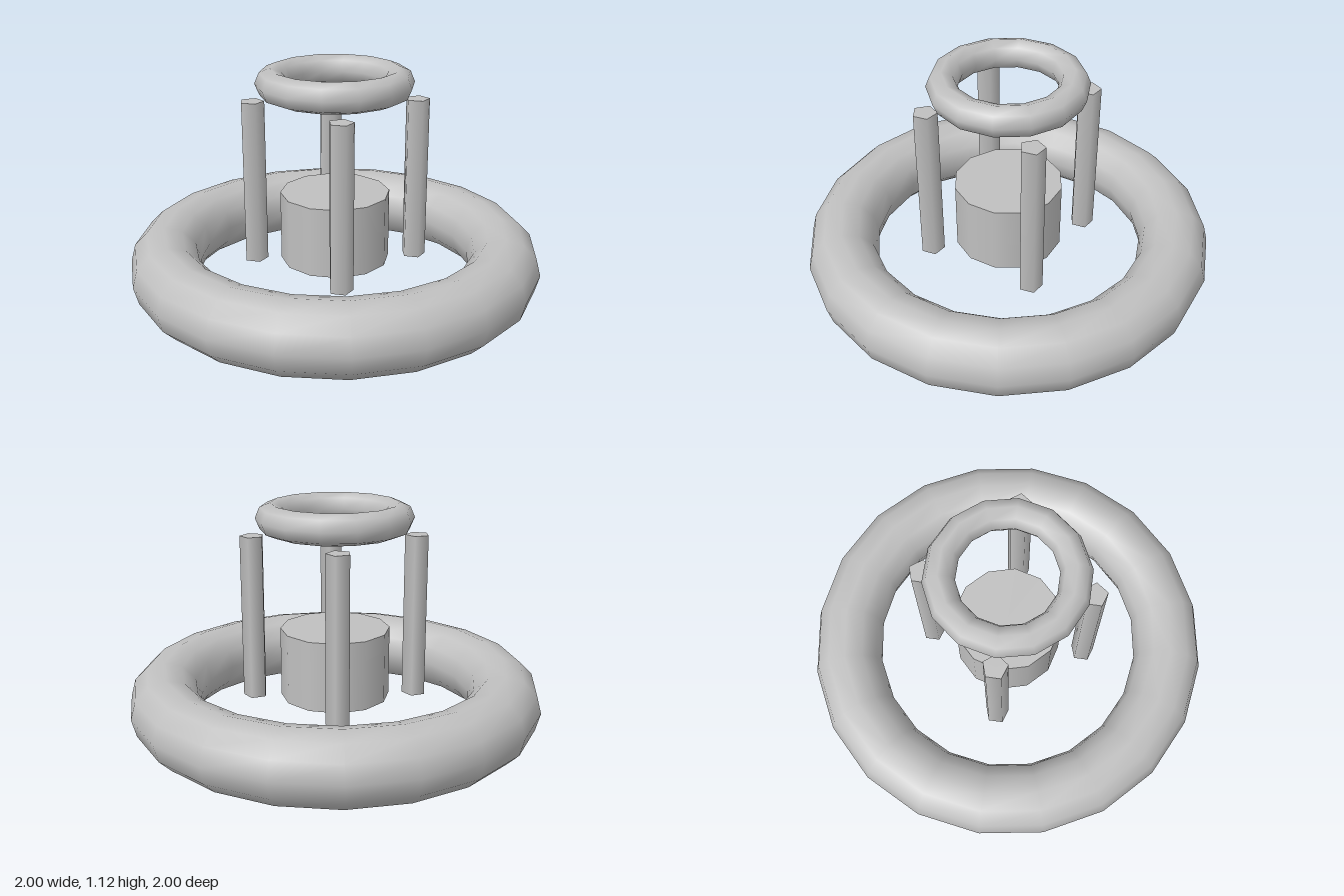
import * as THREE from 'three';

export function createModel() {
  const model = new THREE.Group();
  const grey = new THREE.MeshStandardMaterial({ color: 0xc0c0c0 });
  grey.name = 'plain grey';

  const add = (name, geometry, x, y, z) => {
    const mesh = new THREE.Mesh(geometry, grey);
    mesh.name = name;
    mesh.position.set(x, y, z);
    model.add(mesh);
  };

  // Horizontal ring with a corner on the x axis
  const ring = (radius, tube, sides, segments) =>
    new THREE.TorusGeometry(radius, tube, sides, segments).rotateX(Math.PI / 2);

  // Upright prism with a corner pointing to +x
  const prism = (radius, height, sides) =>
    new THREE.CylinderGeometry(radius, radius, height, sides).rotateY(Math.PI / 2);

  const base = 0.172; // mid-plane of the large ring, where posts and hub start

  add('outerRing', ring(0.83, 0.17, 12, 20), 0, base, 0);
  add('topRing', ring(0.302, 0.073, 8, 14), 0, 1.05, 0);
  add('hub', prism(0.265, 0.34, 12), 0, base + 0.17, 0);

  // Four five-sided posts around the hub
  const postHeight = 0.795;
  for (const [name, x, z] of [
    ['leftPost', 1, 0], ['rightPost', -1, 0], ['frontPost', 0, 1], ['backPost', 0, -1],
  ]) {
    add(name, prism(0.059, postHeight, 5), x * 0.39, base + postHeight / 2, z * 0.39);
  }

  return model;
}
